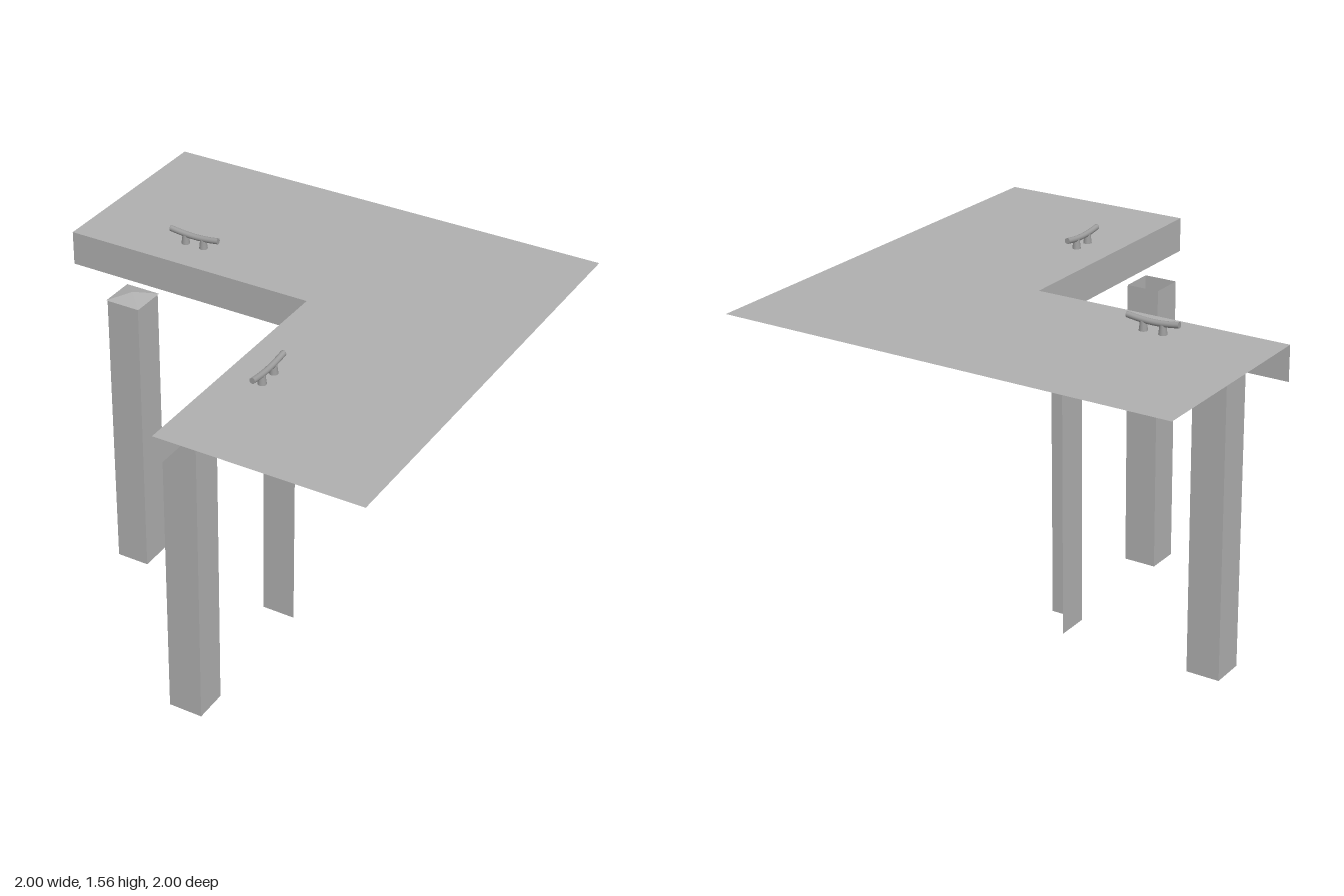
import * as THREE from 'three';

const grey = new THREE.MeshStandardMaterial({ color: 0xb0b0b0, side: THREE.DoubleSide });
grey.name = 'dock grey';
const steel = new THREE.MeshStandardMaterial({ color: 0x9c9c9c, side: THREE.DoubleSide });
steel.name = 'cleat grey';

const TOP = 1.5, SKIRT = 0.15, INNER = 0.125;
const POST = 0.15, POST_H = 1.305;

function add(parent, name, geometry, material, x = 0, y = 0, z = 0) {
  const mesh = new THREE.Mesh(geometry, material);
  mesh.name = name;
  mesh.position.set(x, y, z);
  parent.add(mesh);
  return mesh;
}

// Upright sheet facing +z, or -x when turned
function sheet(parent, name, width, height, x, y, z, facesSide = false) {
  const mesh = add(parent, name, new THREE.PlaneGeometry(width, height), grey, x, y, z);
  if (facesSide) mesh.rotation.y = -Math.PI / 2;
  return mesh;
}

// Hollow square post, open at both ends
function hollowPost(name, x, z) {
  const post = new THREE.Group();
  post.name = name;
  post.position.set(x, POST_H / 2, z);
  for (let i = 0; i < 4; i++) {
    const a = i * Math.PI / 2;
    const wall = sheet(post, 'postWall', POST, POST_H, Math.sin(a) * POST / 2, 0, Math.cos(a) * POST / 2);
    wall.rotation.y = a;
  }
  return post;
}

// Mooring cleat: upswept bar on two flared feet
function cleat(name, x, z, turn) {
  const g = new THREE.Group();
  g.name = name;
  g.position.set(x, TOP, z);
  g.rotation.y = turn;
  const r = 0.0125;
  const path = new THREE.CatmullRomCurve3(
    [[-0.115, 0.051], [-0.06, 0.044], [0, 0.041], [0.06, 0.044], [0.115, 0.051]]
      .map(([px, py]) => new THREE.Vector3(px, py, 0)));
  add(g, 'cleatBar', new THREE.TubeGeometry(path, 12, r, 12), steel);
  for (const s of [-1, 1]) {
    const cap = add(g, 'barEnd', new THREE.CircleGeometry(r, 12), steel, s * 0.115, 0.051, 0);
    cap.rotation.y = s * Math.PI / 2;
    add(g, 'cleatFoot', new THREE.CylinderGeometry(0.013, 0.018, 0.04, 12), steel, s * 0.043, 0.02, 0);
  }
  return g;
}

export function createModel() {
  const model = new THREE.Group();
  model.name = 'cornerDock';

  // L-shaped deck sheet (shape y is -z)
  const outline = [[-1, INNER], [INNER, INNER], [INNER, -1], [1, -1], [1, 1], [-1, 1]];
  const deck = new THREE.ShapeGeometry(new THREE.Shape(outline.map(([x, y]) => new THREE.Vector2(x, y))));
  deck.rotateX(-Math.PI / 2);
  add(model, 'deck', deck, grey, 0, TOP, 0);

  // Skirts along the two inner edges
  const len = 1 + INNER, mid = (INNER - 1) / 2;
  sheet(model, 'frontSkirt', len, SKIRT, mid, TOP - SKIRT / 2, -INNER);
  sheet(model, 'sideSkirt', len, SKIRT, INNER, TOP - SKIRT / 2, -mid, true);

  // Open posts, one with a pyramid cap
  model.add(hollowPost('cappedPost', -0.675, -0.075));
  model.add(hollowPost('openPost', 0.075, 0.675));
  const cap = new THREE.ConeGeometry(0.158 / Math.SQRT2, 0.025, 4, 1, true).toNonIndexed();
  cap.rotateY(Math.PI / 4);
  cap.computeVertexNormals();
  add(model, 'pyramidCap', cap, grey, -0.675, 1.3205, -0.075);

  // Corner post: two outer walls under a flat cap
  sheet(model, 'cornerPostFront', POST, POST_H, 0.075, POST_H / 2, 0);
  sheet(model, 'cornerPostSide', POST, POST_H, 0, POST_H / 2, -0.075, true);
  const flat = new THREE.PlaneGeometry(POST, POST).rotateX(-Math.PI / 2);
  add(model, 'cornerPostCap', flat, grey, 0.075, POST_H, -0.075);

  // Cleats on both arms
  model.add(cleat('frontCleat', -0.5, -0.286, 0));
  model.add(cleat('sideCleat', 0.286, 0.45, Math.PI / 2));
  return model;
}
